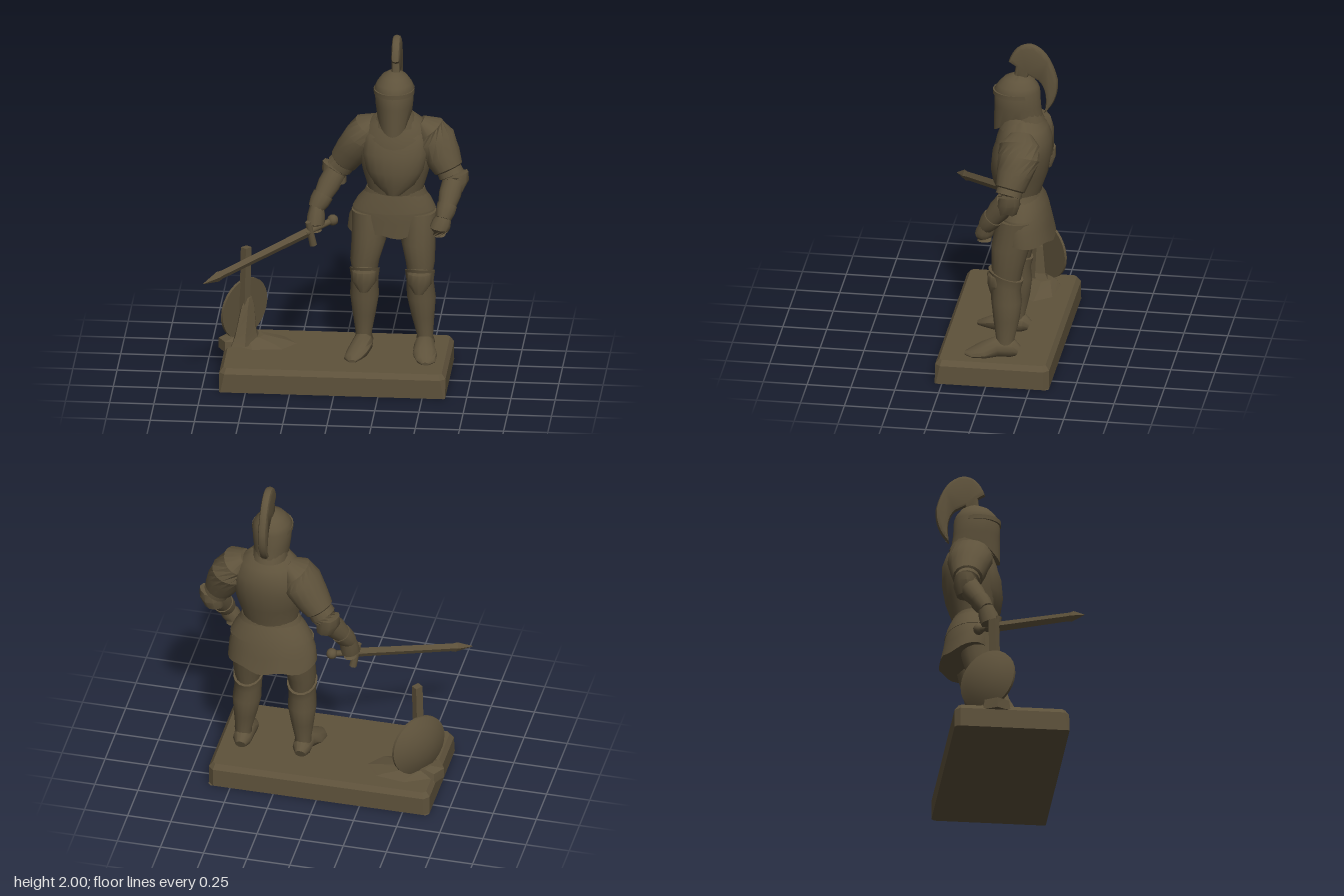
import * as THREE from 'three';
import { toCreasedNormals } from 'three/addons/utils/BufferGeometryUtils.js';

const bronze = new THREE.MeshStandardMaterial({ color: 0x5e523b });
bronze.name = 'dark bronze';

const UP = new THREE.Vector3(0, 1, 0);

// Skin of elliptical rings [x, y, z, rx, rz]; rings lie flat, or across the path when 'along' is set
function loft(rings, { n = 16, along = false, warp = null, crease = 0.75 } = {}) {
  const pos = [], idx = [];
  const centres = rings.map(r => new THREE.Vector3(r[0], r[1], r[2]));
  const last = rings.length - 1;
  rings.forEach((r, i) => {
    const q = new THREE.Quaternion();
    if (along) {
      const t = centres[Math.min(i + 1, last)].clone().sub(centres[Math.max(i - 1, 0)]).normalize();
      q.setFromUnitVectors(UP, t);
    }
    for (let k = 0; k < n; k++) {
      const a = k / n * Math.PI * 2;
      const v = new THREE.Vector3(Math.cos(a) * r[3], 0, Math.sin(a) * r[4]).applyQuaternion(q).add(centres[i]);
      if (warp) warp(v, i);
      pos.push(v.x, v.y, v.z);
    }
  });
  for (let i = 0; i < last; i++) for (let k = 0; k < n; k++) {
    const a = i * n + k, b = i * n + (k + 1) % n;
    idx.push(a, a + n, b, b, a + n, b + n);
  }
  // end caps
  for (let k = 1; k < n - 1; k++) {
    const t = last * n;
    idx.push(0, k, k + 1, t, t + k + 1, t + k);
  }
  const g = new THREE.BufferGeometry();
  g.setAttribute('position', new THREE.Float32BufferAttribute(pos, 3));
  g.setIndex(idx);
  return toCreasedNormals(g, crease);
}

function add(parent, name, geometry, x = 0, y = 0, z = 0) {
  const m = new THREE.Mesh(geometry, bronze);
  m.name = name;
  m.position.set(x, y, z);
  parent.add(m);
  return m;
}

function makeBase(root) {
  const w = 0.64, d = 0.325, c = 0.03;
  const s = new THREE.Shape([[-w + c, -d], [w - c, -d], [w, -d + c], [w, d - c], [w - c, d], [-w + c, d], [-w, d - c], [-w, -d + c]]
    .map(p => new THREE.Vector2(...p)));
  const g = new THREE.ExtrudeGeometry(s, { depth: 0.11, bevelThickness: 0.03, bevelSize: 0.022, bevelOffset: -0.022, bevelSegments: 1 });
  g.rotateX(-Math.PI / 2);
  // widest at the foot, sloping in to the top
  const p = g.attributes.position;
  for (let i = 0; i < p.count; i++) {
    if (p.getY(i) < 0) p.setXYZ(i, Math.sign(p.getX(i)) * Math.min(w, Math.abs(p.getX(i)) + 0.022), 0,
      Math.sign(p.getZ(i)) * Math.min(d, Math.abs(p.getZ(i)) + 0.022));
  }
  g.computeVertexNormals();
  add(root, 'base', g, -0.01, 0, -0.033);
  // uneven ground under the shield
  add(root, 'groundMound', loft([[-0.42, 0.12, -0.13, 0.25, 0.16], [-0.46, 0.155, -0.15, 0.16, 0.1], [-0.5, 0.18, -0.16, 0.07, 0.06]], { n: 7, crease: 0.2 }));
  add(root, 'ledgeRock', loft([[-0.6, 0.11, -0.12, 0.085, 0.09], [-0.6, 0.17, -0.12, 0.085, 0.08], [-0.56, 0.19, -0.14, 0.05, 0.05]], { n: 6, crease: 0.2 }));
}

function makeShield(root) {
  const r = 0.18;
  const profile = [[0, -0.015], [r, -0.015], [r, 0], [0.13, 0.025], [0.07, 0.042], [0, 0.048]].map(p => new THREE.Vector2(...p));
  const g = toCreasedNormals(new THREE.LatheGeometry(profile, 28).rotateX(Math.PI / 2), 0.6);
  const shield = add(root, 'shield', g, -0.55, 0.34, -0.165);
  shield.lookAt(-0.55 - 0.77, 0.4, -0.165 - 0.63);
  // post and wedge the shield leans on
  const post = add(root, 'post', new THREE.BoxGeometry(0.046, 0.56, 0.04), -0.535, 0.44, -0.12);
  post.rotation.set(0, 0.88, -0.03);
  const wedge = add(root, 'wedge', loft([[0, 0, 0, 0.12, 0.06], [0, 0.06, 0, 0.085, 0.045], [0.015, 0.22, 0, 0.05, 0.03], [0.02, 0.27, 0, 0.02, 0.02]], { n: 6, crease: 0.2 }), -0.53, 0.15, -0.11);
  wedge.rotation.y = 0.88;
}

function makeLeg(root, name, x, knee, foot, toe, dz) {
  const leg = new THREE.Group();
  leg.name = name;
  root.add(leg);
  add(leg, 'thigh', loft([[knee, 0.55, -0.1 + dz, 0.062, 0.075], [knee, 0.68, -0.11 + dz, 0.083, 0.092],
    [x, 0.8, -0.125 + dz, 0.098, 0.11], [x, 0.97, -0.15, 0.1, 0.11]]));
  // greave with a flared top rim
  const s = (foot - knee) / 0.4;
  add(leg, 'greave', loft([[foot, 0.17, -0.1 + dz, 0.05, 0.06], [foot, 0.24, -0.1 + dz, 0.046, 0.052],
    [knee + s * 0.22, 0.36, -0.105 + dz, 0.066, 0.075], [knee + s * 0.1, 0.47, -0.105 + dz, 0.082, 0.088],
    [knee, 0.57, -0.1 + dz, 0.077, 0.085], [knee, 0.63, -0.1 + dz, 0.086, 0.1]],
  { warp: (v, i) => { if (i > 3) v.y += (v.z + 0.1 - dz) * 0.35; } }));
  add(leg, 'kneePlate', loft([[knee, 0.51, -0.04 + dz, 0.03, 0.03], [knee, 0.57, -0.05 + dz, 0.07, 0.055],
    [knee, 0.63, -0.05 + dz, 0.07, 0.057], [knee, 0.67, -0.06 + dz, 0.04, 0.035]], { n: 12 }));
  const f = foot, t = toe;
  add(leg, 'sabaton', loft([[f, 0.17, -0.175 + dz, 0.03, 0.03], [f, 0.185, -0.14 + dz, 0.052, 0.055], [f, 0.19, -0.06 + dz, 0.058, 0.06],
    [f + (t - f) * 0.5, 0.165, 0.02 + dz, 0.07, 0.045], [t, 0.15, 0.085 + dz, 0.055, 0.026], [t, 0.145, 0.125 + dz, 0.02, 0.012]],
  { n: 12, along: true, warp: v => { v.y = Math.max(v.y, 0.135); } }));
}

function makeArm(root, name, S, E, W, H, side) {
  const arm = new THREE.Group();
  arm.name = name;
  root.add(arm);
  const mix = (a, b, t) => a.map((v, i) => v + (b[i] - v) * t);
  // layered shoulder plates running down the upper arm
  add(arm, 'pauldron', loft([[S[0] - side * 0.08, S[1] + 0.11, S[2], 0.03, 0.06], [S[0] - side * 0.03, S[1] + 0.065, S[2], 0.085, 0.115],
    [...S, 0.105, 0.13], [...mix(S, E, 0.4), 0.096, 0.108], [...mix(S, E, 0.72), 0.084, 0.086], [...mix(S, E, 0.78), 0.06, 0.06]], { along: true }));
  add(arm, 'upperArm', loft([[...mix(S, E, 0.6), 0.07, 0.07], [...mix(S, E, 0.88), 0.077, 0.074], [...E, 0.066, 0.066],
    [...mix(E, W, 0.15), 0.05, 0.05]], { along: true }));
  // elbow guard with an outward fin
  add(arm, 'elbowGuard', loft([[E[0], E[1] - 0.075, E[2], 0.055, 0.058], [E[0] + side * 0.015, E[1] - 0.02, E[2] - 0.01, 0.07, 0.068],
    [E[0] + side * 0.02, E[1] + 0.03, E[2] - 0.015, 0.062, 0.06]],
  { n: 10, warp: v => { if ((v.x - E[0]) * side > 0.055) v.y += 0.015; } }));
  // vambrace and flared cuff
  add(arm, 'forearm', loft([[...mix(E, W, 0.05), 0.062, 0.062], [...mix(E, W, 0.4), 0.062, 0.064], [...mix(E, W, 0.8), 0.046, 0.048],
    [...W, 0.044, 0.046]], { along: true }));
  add(arm, 'cuff', loft([[...mix(E, W, 0.68), 0.057, 0.06], [...mix(E, W, 0.86), 0.055, 0.058], [...mix(E, W, 1.06), 0.042, 0.045]], { n: 12, along: true }));
  add(arm, 'gauntlet', loft([[...W, 0.04, 0.045], [...mix(W, H, 0.5), 0.05, 0.056], [...H, 0.052, 0.058],
    [H[0], H[1] - 0.04, H[2], 0.036, 0.042]], { n: 10, along: true }));
}

function makeTorso(root) {
  add(root, 'cuirass', loft([[0.31, 1.05, -0.15, 0.155, 0.115], [0.315, 1.12, -0.15, 0.16, 0.125], [0.315, 1.22, -0.155, 0.19, 0.155],
    [0.315, 1.34, -0.165, 0.215, 0.165], [0.315, 1.43, -0.175, 0.21, 0.155], [0.315, 1.5, -0.175, 0.16, 0.13], [0.315, 1.55, -0.16, 0.1, 0.095]], { n: 24 }));
  add(root, 'breastplate', loft([[0.312, 1.1, -0.085, 0.06, 0.07], [0.315, 1.16, -0.085, 0.125, 0.088], [0.315, 1.24, -0.085, 0.165, 0.1],
    [0.315, 1.34, -0.09, 0.185, 0.095], [0.315, 1.44, -0.11, 0.175, 0.08], [0.315, 1.485, -0.12, 0.14, 0.062]], { n: 20 }));
  add(root, 'gorget', loft([[0.315, 1.49, -0.155, 0.135, 0.125], [0.315, 1.53, -0.15, 0.115, 0.11], [0.315, 1.57, -0.14, 0.09, 0.09]]));
  // armoured skirt, longer at the back, with shallow folds
  const dip = v => { if (v.z < -0.15) v.y += (v.z + 0.15) * 0.14; };
  add(root, 'skirt', loft([[0.295, 0.845, -0.185, 0.256, 0.162], [0.298, 0.93, -0.175, 0.248, 0.152], [0.305, 1.01, -0.165, 0.22, 0.143],
    [0.312, 1.07, -0.155, 0.18, 0.125], [0.314, 1.11, -0.15, 0.165, 0.118]],
  { n: 32, warp: (v, i) => { if (i < 2) { v.y += 0.012 * Math.cos(v.x * 28); dip(v); } } }));
  add(root, 'waistPlate', loft([[0.305, 0.985, -0.165, 0.236, 0.15], [0.308, 1.04, -0.16, 0.208, 0.14], [0.312, 1.1, -0.15, 0.16, 0.12]], { n: 24 }));
}

function makeHelmet(root) {
  const h = new THREE.Group();
  h.name = 'helmet';
  root.add(h);
  const hx = 0.308;
  // pointed face and slanted lower edge
  add(h, 'helmetShell', loft([[hx, 1.545, -0.14, 0.096, 0.14], [hx, 1.62, -0.135, 0.106, 0.133], [hx, 1.715, -0.133, 0.113, 0.13],
    [hx, 1.745, -0.137, 0.1, 0.115], [hx, 1.785, -0.14, 0.07, 0.082], [hx, 1.81, -0.145, 0.028, 0.035]],
  { n: 24, warp: (v, i) => {
    const front = Math.max(0, v.z + 0.1);
    if (i === 0) v.y -= front * 0.85;
    if (i < 3) v.x = hx + (v.x - hx) * (1 - front * 0.8);
  } }));
  add(h, 'visorBand', loft([[hx, 1.69, -0.125, 0.116, 0.13], [hx, 1.715, -0.125, 0.116, 0.13]], { n: 24 }));
  add(h, 'neckGuard', loft([[hx, 1.535, -0.18, 0.1, 0.11], [hx, 1.6, -0.17, 0.09, 0.09]]));
  // crest plume, outlined from the side as [-z, y]
  const s = new THREE.Shape();
  s.moveTo(0.085, 1.885);
  s.quadraticCurveTo(0.12, 2.0, 0.21, 2.0);
  s.quadraticCurveTo(0.32, 1.98, 0.365, 1.79);
  s.quadraticCurveTo(0.375, 1.66, 0.29, 1.58);
  s.quadraticCurveTo(0.315, 1.72, 0.255, 1.78);
  s.lineTo(0.2, 1.81);
  s.lineTo(0.19, 1.78);
  s.lineTo(0.115, 1.78);
  s.lineTo(0.125, 1.86);
  const g = new THREE.ExtrudeGeometry(s, { depth: 0.008, curveSegments: 8, bevelThickness: 0.02, bevelSize: 0.018, bevelOffset: -0.018, bevelSegments: 2 });
  g.rotateY(Math.PI / 2);
  add(h, 'plume', toCreasedNormals(g, 0.6), 0.312, 0, 0);
}

function makeSword(root) {
  const s = new THREE.Group();
  s.name = 'sword';
  s.position.set(-0.12, 0.865, -0.1);
  s.lookAt(-0.73, 0.685, 0.365);
  root.add(s);
  add(s, 'blade', loft([[0, 0, 0.05, 0.016, 0.03], [0, 0, 0.66, 0.014, 0.026], [0, 0, 0.69, 0.018, 0.032], [0, 0, 0.79, 0.002, 0.002]],
    { n: 4, along: true, crease: 0.2 }));
  add(s, 'grip', new THREE.CylinderGeometry(0.018, 0.018, 0.19, 8).rotateX(Math.PI / 2), 0, 0, -0.01);
  add(s, 'crossguard', new THREE.CylinderGeometry(0.018, 0.022, 0.15, 8), 0, -0.015, 0.055);
  add(s, 'pommel', new THREE.SphereGeometry(0.032, 10, 8), 0, 0, -0.1);
}

export function createModel() {
  const root = new THREE.Group();
  root.name = 'knightStatue';
  makeBase(root);
  makeShield(root);
  makeLeg(root, 'rightLeg', 0.165, 0.143, 0.137, 0.09, 0.0);
  makeLeg(root, 'leftLeg', 0.445, 0.457, 0.485, 0.505, 0.01);
  makeTorso(root);
  makeArm(root, 'rightArm', [0.125, 1.39, -0.19], [-0.025, 1.17, -0.225], [-0.13, 0.98, -0.13], [-0.135, 0.885, -0.1], -1);
  makeArm(root, 'leftArm', [0.535, 1.39, -0.175], [0.645, 1.17, -0.125], [0.6, 0.99, 0.0], [0.575, 0.925, 0.015], 1);
  makeHelmet(root);
  makeSword(root);
  return root;
}
